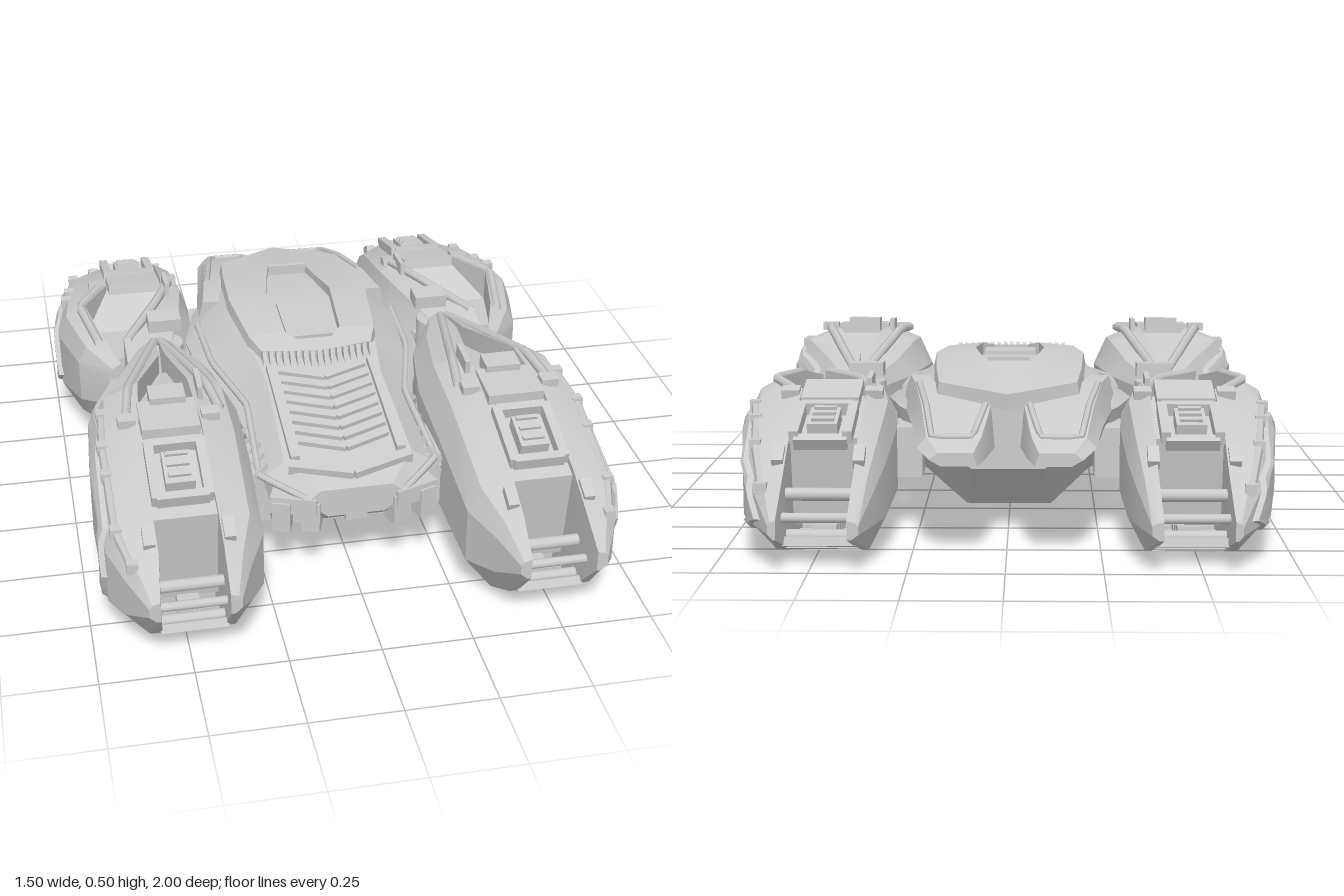
import * as THREE from 'three';
import { toCreasedNormals } from 'three/addons/utils/BufferGeometryUtils.js';

const material = new THREE.MeshStandardMaterial({ color: 0xcccccc, roughness: 0.7, side: THREE.DoubleSide });
const V = (x, y, z) => new THREE.Vector3(x, y, z);

// Closed solid through rings of equal point count, always wound outward
function loft(rings) {
  const tris = [], n = rings[0].length;
  rings.slice(0, -1).forEach((r, i) => {
    const s = rings[i + 1];
    for (let j = 0; j < n; j++) {
      const k = (j + 1) % n;
      tris.push([r[j], r[k], s[k]], [r[j], s[k], s[j]]);
    }
  });
  const last = rings[rings.length - 1];
  for (let j = 1; j < n - 1; j++) {
    tris.push([rings[0][0], rings[0][j + 1], rings[0][j]], [last[0], last[j], last[j + 1]]);
  }
  const volume = tris.reduce((v, [a, b, c]) => v + a.dot(b.clone().cross(c)), 0);
  const pos = tris.flatMap(([a, b, c]) => (volume < 0 ? [a, c, b] : [a, b, c])).flatMap((p) => [p.x, p.y, p.z]);
  const g = new THREE.BufferGeometry();
  g.setAttribute('position', new THREE.Float32BufferAttribute(pos, 3));
  return toCreasedNormals(g, 0.3);
}

function add(parent, name, geometry, x = 0, y = 0, z = 0, rx = 0, ry = 0, rz = 0) {
  const m = new THREE.Mesh(geometry, material);
  m.name = name;
  m.position.set(x, y, z);
  m.rotation.set(rx, ry, rz);
  parent.add(m);
}
const box = (w, h, d) => new THREE.BoxGeometry(w, h, d);
const pipe = (pts, r) => new THREE.TubeGeometry(new THREE.CatmullRomCurve3(pts, false, 'catmullrom', 0.05), pts.length * 5, r, 6);
const rod = (parent, name, x0, x1, y, z, r) =>
  add(parent, name, new THREE.CylinderGeometry(r, r, x1 - x0, 10), (x0 + x1) / 2, y, z, 0, 0, Math.PI / 2);

// Mirrored copy with baked transforms and corrected winding
function mirror(group, name) {
  const out = new THREE.Group();
  out.name = name;
  group.updateMatrixWorld(true);
  group.traverse((o) => {
    if (!o.isMesh) return;
    let g = o.geometry.clone().applyMatrix4(o.matrixWorld).scale(-1, 1, 1);
    if (g.index) g = g.toNonIndexed();
    for (const a of Object.values(g.attributes)) {
      const s = a.itemSize, d = a.array;
      for (let i = 0; i < d.length; i += 3 * s) {
        for (let k = 0; k < s; k++) [d[i + s + k], d[i + 2 * s + k]] = [d[i + 2 * s + k], d[i + s + k]];
      }
    }
    add(out, o.name, g);
  });
  return out;
}

// Interpolated section values at z (sections run in either direction)
function at(sections, z) {
  const s = [...sections].sort((a, b) => a[0] - b[0]);
  let i = 0;
  while (i < s.length - 2 && z > s[i + 1][0]) i++;
  const t = THREE.MathUtils.clamp((z - s[i][0]) / (s[i + 1][0] - s[i][0]), 0, 1);
  return s[i].map((v, k) => v + (s[i + 1][k] - v) * t);
}

// Pod sections: z, bottom, top, inner side, outer side, inner slot edge, outer slot edge, slot depth
const FRONT = [
  [1.0, 0.19, 0.25, 0.37, 0.61, 0.4, 0.58, 0], [0.9, 0.08, 0.33, 0.33, 0.66, 0.4, 0.57, 0],
  [0.79, 0.02, 0.38, 0.28, 0.7, 0.4, 0.57, 0.02], [0.5, 0.02, 0.47, 0.27, 0.705, 0.4, 0.57, 0.02],
  [0.28, 0.06, 0.485, 0.27, 0.69, 0.41, 0.55, 0.07], [0.05, 0.17, 0.44, 0.31, 0.6, 0.445, 0.465, 0.06],
  [-0.2, 0.27, 0.38, 0.42, 0.48, 0.45, 0.45, 0]];
const REAR = [
  [-1.0, 0.1, 0.15, 0.37, 0.6, 0.4, 0.58, 0], [-0.9, 0.06, 0.26, 0.34, 0.65, 0.39, 0.57, 0],
  [-0.77, 0.02, 0.34, 0.32, 0.69, 0.39, 0.57, 0.02], [-0.5, 0.015, 0.41, 0.31, 0.735, 0.39, 0.57, 0.02],
  [-0.35, 0.05, 0.42, 0.32, 0.735, 0.44, 0.65, 0.1], [-0.15, 0.12, 0.41, 0.36, 0.69, 0.55, 0.61, 0.08],
  [-0.03, 0.19, 0.38, 0.46, 0.61, 0.55, 0.57, 0]];
// Points on the top deck where ridges line the slot: inner x, outer x, z
const RIDGES = { 1: [[0.34, 0.6, 0.44], [0.36, 0.58, 0.3], [0.44, 0.46, -0.12]], '-1': [[0.37, 0.59, -0.5], [0.425, 0.665, -0.35], [0.54, 0.625, -0.13]] };

function cheek([z, y0, y1], a, b) {
  const c = Math.sign(b - a) * Math.min(0.07, Math.abs(b - a) * 0.5), h = y1 - y0;
  return [V(a, y0, z), V(b - c * 1.3, y0, z), V(b, y0 + h * 0.28, z), V(b, y0 + h * 0.72, z), V(b - c * 0.6, y1 - h * 0.09, z), V(a, y1, z)];
}

function makePod(name, S, panel, dir) {
  const pod = new THREE.Group();
  pod.name = name;
  add(pod, 'outerCheek', loft(S.map((s) => cheek(s, s[6], s[4]))));
  add(pod, 'innerCheek', loft(S.map((s) => cheek(s, s[5], s[3]))));
  add(pod, 'podCore', loft(S.slice(2, 6).map(([z, y0, y1, , , a, b, d], i) => {
    const zb = i ? z : z - dir * 0.04;
    return [V(a, y0 + 0.06, zb), V(b, y0 + 0.06, zb), V(b, y1 - d, z), V(a, y1 - d, z)];
  })));

  // Raised rim and recessed panel wrapped over the outer cheek
  const skin = (z, y) => {
    const [, y0, y1, , xo, , mo] = at(S, z), t = (y - y0) / (y1 - y0), c = Math.min(0.07, (xo - mo) * 0.5);
    return xo - c * Math.max(0, 1.3 * (0.28 - t) / 0.28, 0.6 * (t - 0.72) / 0.19);
  };
  const cz = panel.reduce((s, p) => s + p[0], 0) / panel.length, cy = panel.reduce((s, p) => s + p[1], 0) / panel.length;
  const edge = panel.flatMap(([z, y], i) => {
    const [z2, y2] = panel[(i + 1) % panel.length];
    return [0, 1, 2, 3].map((k) => [z + (z2 - z) * k / 4, y + (y2 - y) * k / 4]);
  });
  const steps = [[1, -0.01], [0.98, 0.015], [0.88, 0.015], ...[0.85, 0.75, 0.65, 0.55, 0.4, 0.2, 0.02].map((k) => [k, 0.007])];
  add(pod, 'sidePanel', loft(steps.map(([k, o]) => edge.map(([z, y]) => {
    const pz = cz + (z - cz) * k, py = cy + (y - cy) * k;
    return V(skin(pz, py) + o, py, pz);
  }))));

  // Ladder track along the underside
  const path = new THREE.CatmullRomCurve3(S.slice(1, 6).map((s) => V(0, s[1] + 0.012, s[0])), false, 'catmullrom', 0.2);
  for (let i = 0; i <= 11; i++) {
    const p = path.getPointAt(i / 11), t = path.getTangentAt(i / 11), s = at(S, p.z);
    const x = (s[5] + s[6]) / 2, y = Math.max(p.y, 0.013), tilt = -Math.atan2(t.y, t.z);
    add(pod, 'trackRung', box(s[6] - s[5] + 0.01, 0.024, 0.03), x, y, p.z, tilt);
    if (i > 1) add(pod, 'trackShoe', box(0.06, 0.05, 0.05), x, y + 0.03, p.z, tilt);
  }
  // End rollers in the open fork
  for (const [z, lift, r] of [[0.93, 0.07, 0.013], [0.87, 0.14, 0.017], [0.87, 0.03, 0.017]]) {
    rod(pod, 'roller', 0.38, 0.6, at(S, dir * z)[1] + lift, dir * z, r);
  }

  // Details resting on the sloping top
  const onTop = (part, w, h, d, x, z, lift = 0) => {
    const y = at(S, z)[2], slope = -Math.atan2(at(S, z + 0.03)[2] - at(S, z - 0.03)[2], 0.06);
    add(pod, part, box(w, h, d), x, y + lift, z, slope);
  };
  const hz = dir > 0 ? 0.66 : -0.72;
  for (const s of [-1, 1]) {
    onTop('hatchFrame', 0.025, 0.035, 0.2, 0.485 + s * 0.07, hz, 0.002);
    onTop('hatchFrame', 0.14, 0.035, 0.025, 0.485, hz + s * 0.09, 0.002);
    onTop('clamp', 0.05, 0.025, 0.04, 0.485 + s * 0.115, hz - dir * 0.2, -0.002);
    onTop('forkLug', 0.03, 0.03, 0.06, 0.485 + s * 0.105, dir * 0.85, -0.005);
  }
  onTop('hatch', 0.08, 0.04, 0.11, 0.485, hz, 0);
  for (let i = 0; i < 3; i++) onTop('hatchRib', 0.06, 0.015, 0.012, 0.485, hz + (i - 1) * 0.035, 0.022);
  onTop('deckPlate', 0.16, 0.03, 0.14, 0.485, hz - dir * 0.2, -0.005);
  onTop('sensorBox', 0.1, 0.04, 0.07, dir > 0 ? 0.48 : 0.42, dir > 0 ? 0.38 : -0.2, 0.01);
  onTop('innerBlade', 0.014, 0.04, 0.1, 0.385, dir > 0 ? 0.33 : -0.45, 0.01);
  // Pivot drum joining front and rear pods
  if (dir < 0) add(pod, 'pivotDrum', new THREE.CylinderGeometry(0.06, 0.07, 0.2, 16), 0.43, 0.28, -0.14);
  // Ridges along the slot and a conduit along the outer shoulder
  for (const k of [0, 1]) add(pod, 'slotRidge', pipe(RIDGES[dir].map((a) => V(a[k], at(S, a[2])[2] - 0.003, a[2])), 0.014));
  const conduit = (dir > 0 ? [0.9, 0.79, 0.6, 0.5, 0.35] : [-0.92, -0.77, -0.6, -0.5]).map((z) => {
    const s = at(S, z), y = s[1] + (s[2] - s[1]) * 0.88;
    return V(skin(z, y) + 0.002, y, z);
  });
  add(pod, 'conduit', pipe(conduit, 0.012));
  conduit.forEach((p) => add(pod, 'conduitClamp', box(0.03, 0.03, 0.03), p.x, p.y, p.z));
  return pod;
}

function makeHull() {
  const hull = new THREE.Group();
  hull.name = 'hull';
  // z, top half width, side half width, bottom half width, heights of top, side, lower side and bottom
  const H = [
    [0.67, 0.1, 0.13, 0.08, 0.315, 0.29, 0.26, 0.23], [0.55, 0.18, 0.24, 0.12, 0.345, 0.3, 0.22, 0.14],
    [0.22, 0.17, 0.26, 0.12, 0.41, 0.32, 0.14, 0.03], [0.03, 0.19, 0.33, 0.13, 0.435, 0.33, 0.16, 0.03],
    [-0.2, 0.2, 0.355, 0.13, 0.455, 0.34, 0.2, 0.045], [-0.38, 0.18, 0.31, 0.12, 0.45, 0.34, 0.22, 0.06],
    [-0.58, 0.1, 0.2, 0.1, 0.41, 0.33, 0.26, 0.2]];
  add(hull, 'body', loft(H.map(([z, a, b, c, t, m, k, l]) =>
    [V(a, t, z), V(b, m, z), V(b * 0.92, k, z), V(c, l, z), V(-c, l, z), V(-b * 0.92, k, z), V(-b, m, z), V(-a, t, z)])));

  add(hull, 'roofPane', box(0.15, 0.01, 0.2), 0, 0.458, -0.06, 0.07);
  add(hull, 'roofBar', box(0.12, 0.02, 0.015), 0, 0.475, -0.39);
  // Slatted windscreen band
  for (let i = -8; i <= 8; i++) add(hull, 'screenSlat', box(0.012, 0.05, 0.03), i * 0.02, 0.43, 0.145 - Math.abs(i) * 0.003, -0.5);

  // Bonnet with chevron louvres
  const hood = new THREE.Group();
  hood.name = 'bonnet';
  hood.position.set(0, 0.384, 0.36);
  hood.rotation.x = 0.184;
  hull.add(hood);
  for (const s of [-1, 1]) {
    for (let i = 0; i < 8; i++) add(hood, 'louvre', box(0.135, 0.022, 0.016), s * 0.064, 0, -0.16 + i * 0.044, 0, s * 0.35, 0);
    add(hood, 'bonnetEdge', box(0.025, 0.035, 0.4), s * 0.15, 0, 0.0);
    add(hood, 'noseLip', box(0.18, 0.03, 0.03), s * 0.085, -0.002, 0.245, 0, s * 0.3, 0);
  }
  // Front machinery under the bonnet
  add(hull, 'noseBlock', box(0.06, 0.08, 0.06), 0, 0.25, 0.64);
  add(hull, 'crossBeam', box(0.44, 0.04, 0.05), 0, 0.19, 0.57);
  return hull;
}

function makeHullSide() {
  const side = new THREE.Group();
  side.name = 'leftHullParts';
  // Half of the canopy shell around the roof opening: outer x, z, inner x, z, crown height, outer drop
  const C = [[0, -0.66, 0, -0.4, 0.42, 0], [0.19, -0.54, 0.06, -0.4, 0.445, 0.01], [0.205, -0.4, 0.075, -0.33, 0.475, 0.02],
    [0.215, -0.2, 0.1, -0.2, 0.487, 0.015], [0.19, 0.03, 0.085, 0.03, 0.472, 0.01], [0.165, 0.1, 0.05, 0.07, 0.46, 0.01], [0, 0.13, 0, 0.07, 0.46, 0.01]];
  add(side, 'canopy', loft(C.map(([ox, oz, ix, iz, y, d], i) => {
    const yi = i < 2 ? 0.475 : y;
    return [V(ox, y - d, oz), V(ix, yi, iz), V(ix, yi - 0.04, iz), V(ox * 1.04, y - d - 0.045, oz)];
  })));

  // Tail fin: z, inner, outer, bottom, top
  const tail = [[-0.3, 0.12, 0.31, 0.24, 0.42], [-0.45, 0.1, 0.285, 0.25, 0.42], [-0.63, 0.035, 0.258, 0.27, 0.385], [-0.8, 0.055, 0.235, 0.27, 0.33], [-0.87, 0.075, 0.2, 0.265, 0.3]];
  add(side, 'tailFin', loft(tail.map(([z, a, b, y0, y1]) =>
    [V(a, y0, z), V(b - 0.03, y0, z), V(b, (y0 + y1) / 2, z), V(b - 0.025, y1, z), V(a + 0.01, y1, z)])));
  add(side, 'finRim', pipe([V(0.25, 0.42, -0.45), V(0.22, 0.387, -0.63), V(0.195, 0.33, -0.8), V(0.09, 0.33, -0.8), V(0.06, 0.387, -0.63)], 0.009));

  // Side rails with rungs
  add(side, 'upperRail', pipe([V(0.31, 0.37, -0.25), V(0.3, 0.37, 0), V(0.235, 0.36, 0.25), V(0.25, 0.31, 0.55), V(0.14, 0.29, 0.66)], 0.01));
  add(side, 'lowerRail', pipe([V(0.355, 0.32, -0.2), V(0.34, 0.31, 0), V(0.28, 0.29, 0.25), V(0.27, 0.27, 0.55)], 0.01));
  for (let i = 0; i < 9; i++) {
    add(side, 'rung', box(0.06, 0.012, 0.012), 0.268 - Math.min(i, 3) * 0.006, 0.315, 0.08 + i * 0.058, 0, 0, -0.7);
  }
  // Bumper, hubs, axles and struts
  add(side, 'bumper', box(0.13, 0.05, 0.06), 0.165, 0.265, 0.63, 0, 0.35, 0);
  for (const x of [0.12, 0.2]) add(side, 'bumperBlock', box(0.05, 0.09, 0.05), x, 0.23, 0.67 - x * 0.2, 0, 0.35, 0);
  for (const [z, x0] of [[0.42, 0.15], [0.5, 0.15], [0.05, 0.25], [-0.4, 0.2]]) rod(side, 'axle', x0, 0.36, 0.23, z, 0.035);
  add(side, 'hub', box(0.09, 0.16, 0.16), 0.235, 0.23, 0.46);
  add(side, 'rearHub', box(0.08, 0.14, 0.16), 0.28, 0.23, -0.42);
  for (const z of [0.34, 0.42, 0.5]) add(side, 'lowerStrut', pipe([V(0.1, 0.07, z - 0.1), V(0.32, 0.15, z)], 0.009));
  return side;
}

export function createModel() {
  const model = new THREE.Group();
  model.name = 'trackedVehicle';
  model.add(makeHull());
  const frontPanel = [[0.8, 0.2], [0.75, 0.32], [0.42, 0.43], [0.06, 0.385], [0.01, 0.34], [0.12, 0.2], [0.38, 0.1], [0.75, 0.09]];
  const rearPanel = [[-0.33, 0.19], [-0.44, 0.34], [-0.55, 0.345], [-0.86, 0.235], [-0.95, 0.14], [-0.81, 0.085], [-0.48, 0.08]];
  const parts = [
    [makePod('leftFrontPod', FRONT, frontPanel, 1), 'rightFrontPod'],
    [makePod('leftRearPod', REAR, rearPanel, -1), 'rightRearPod'],
    [makeHullSide(), 'rightHullParts']];
  for (const [part, name] of parts) model.add(part, mirror(part, name));
  return model;
}
